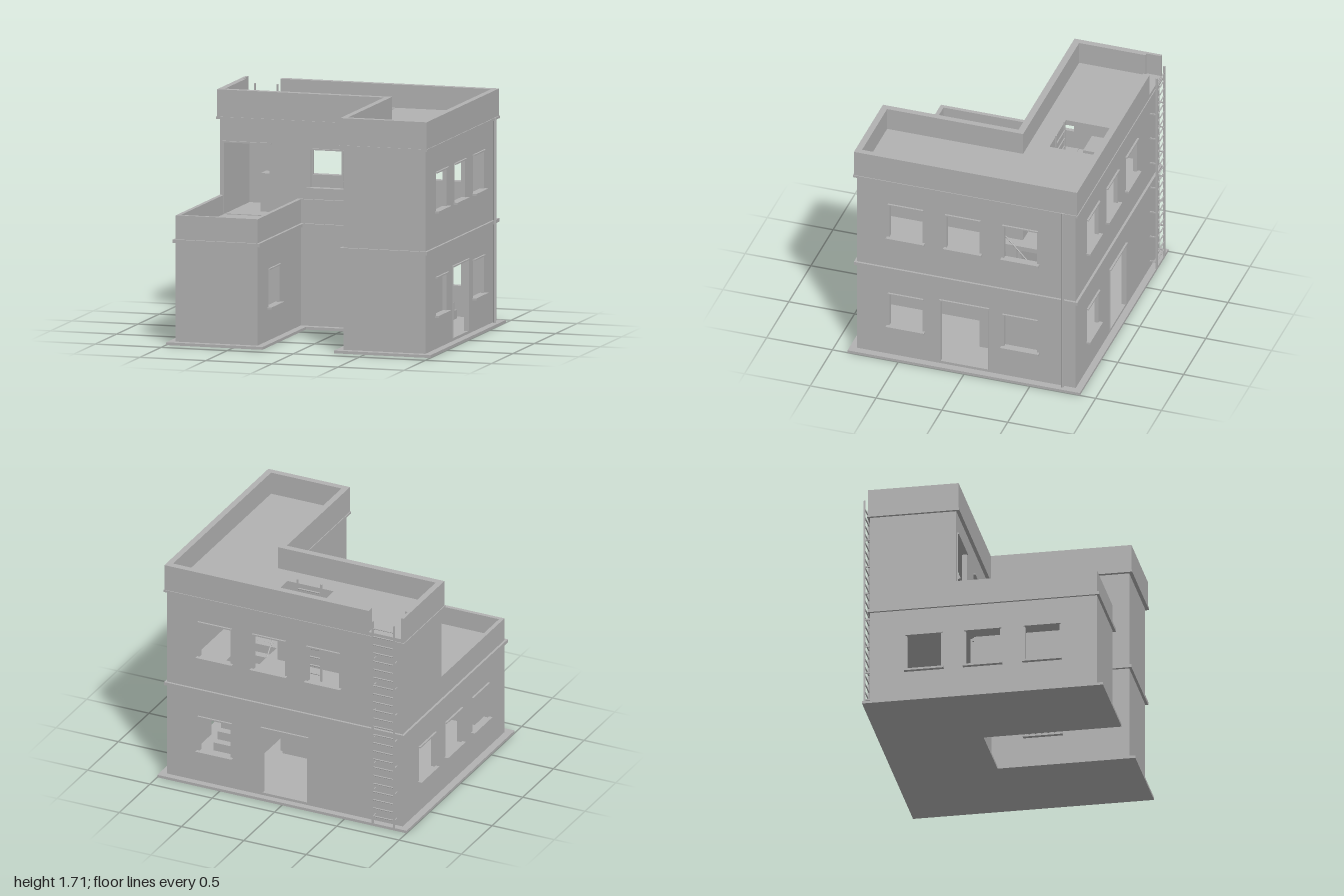
import * as THREE from 'three';

export function createModel() {
  const model = new THREE.Group();
  const grey = new THREE.MeshStandardMaterial({ color: 0xb2b2b2 });
  grey.name = 'plaster grey';

  const add = (name, geo) => {
    const m = new THREE.Mesh(geo, grey);
    m.name = name;
    model.add(m);
    return m;
  };
  const box = (name, x0, x1, y0, y1, z0, z1) =>
    add(name, new THREE.BoxGeometry(x1 - x0, y1 - y0, z1 - z0)
      .translate((x0 + x1) / 2, (y0 + y1) / 2, (z0 + z1) / 2));
  const bar = (name, a, b, r) => {
    const p = new THREE.Vector3(...a), q = new THREE.Vector3(...b);
    const m = add(name, new THREE.CylinderGeometry(r, r, p.distanceTo(q), 8));
    m.position.copy(p).add(q).multiplyScalar(0.5);
    m.quaternion.setFromUnitVectors(new THREE.Vector3(0, 1, 0), q.sub(p).normalize());
  };
  const poly = (pts, Type = THREE.Shape) => new Type(pts.map(p => new THREE.Vector2(...p)));
  const rect = (a, b, c, d) => [[a, c], [b, c], [b, d], [a, d]];

  // Horizontal plate from an (x, z) outline
  const plate = (name, pts, y0, y1, holes = []) => {
    const s = poly(pts);
    s.holes = holes.map(h => poly(h, THREE.Path));
    add(name, new THREE.ExtrudeGeometry(s, { depth: y1 - y0, bevelEnabled: false })
      .rotateX(Math.PI / 2).translate(0, y1, 0));
  };
  const uShape = (o, zb, zf, xi, zn) => [[-o, zb], [o, zb], [o, zf], [xi, zf], [xi, zn], [-xi, zn], [-xi, zf], [-o, zf]];
  const lShape = (o, zb, zf, xi, zn) => [[-o, zb], [o, zb], [o, zf], [xi, zf], [xi, zn], [-o, zn]];

  // Wall along one axis with openings [centre, width, bottom, top]; doors have no sill
  const T = 0.03;
  const wall = (name, axis, pos, dir, a, b, y0, y1, openings = []) => {
    const s = poly(rect(a, b, y0, y1));
    s.holes = openings.map(([c, w, lo, hi]) => poly(rect(c - w / 2, c + w / 2, lo, hi), THREE.Path));
    const g = new THREE.ExtrudeGeometry(s, { depth: T, bevelEnabled: false });
    if (axis === 'x') g.rotateY(-Math.PI / 2).translate(dir > 0 ? pos : pos + T, 0, 0);
    else g.translate(0, 0, dir > 0 ? pos - T : pos);
    add(name, g);
    const trim = (label, c, w, lo, hi, out) => {
      const p = Math.min(pos, pos + dir * out), q = Math.max(pos, pos + dir * out);
      if (axis === 'x') box(label, p, q, lo, hi, c - w / 2, c + w / 2);
      else box(label, c - w / 2, c + w / 2, lo, hi, p, q);
    };
    for (const [c, w, lo, hi, door] of openings) {
      trim('lintel', c, w + 0.02, hi, hi + 0.01, 0.015);
      if (!door) trim('sill', c, w + 0.04, lo - 0.015, lo, 0.03);
      else for (const e of [-1, 1]) trim('doorFrame', c + e * (w / 2 + 0.003), 0.006, lo, hi, 0.008);
    }
  };
  const low = c => [c, 0.25, 0.265, 0.535];
  const high = c => [c, 0.25, 1.025, 1.3];
  const door = c => [c, 0.36, 0.04, 0.56, true];

  // Base, floors and roof
  plate('base', uShape(1, -0.88, 0.885, 0.27, -0.125), 0, 0.02);
  plate('groundFloor', uShape(0.945, -0.83, 0.83, 0.325, -0.18), 0.02, 0.04);
  plate('upperFloor', uShape(0.94, -0.825, 0.825, 0.33, -0.185), 0.765, 0.8,
    [rect(0.44, 0.68, -0.72, -0.02)]);
  plate('middleBand', uShape(0.962, -0.848, 0.85, 0.305, -0.16), 0.74, 0.765,
    [uShape(0.93, -0.815, 0.815, 0.34, -0.195)]);
  plate('roof', lShape(0.96, -0.845, 0.85, 0.305, -0.18), 1.5, 1.54, [rect(-0.17, 0.2, -0.755, -0.38)]);
  plate('roofBand', lShape(0.966, -0.851, 0.856, 0.299, -0.174), 1.495, 1.512,
    [lShape(0.93, -0.815, 0.815, 0.34, -0.215)]);

  // Ground storey walls
  const G = [0.02, 0.765];
  wall('groundBackWall', 'z', -0.83, -1, -0.945, 0.945, ...G, [low(0.56), door(0)]);
  wall('groundRightSideWall', 'x', 0.945, 1, -0.83, 0.83, ...G, [low(0.46), door(0.015), low(-0.41)]);
  wall('groundLeftSideWall', 'x', -0.945, -1, -0.83, 0.83, ...G, [low(-0.435), low(-0.005), low(0.43)]);
  wall('groundCourtWall', 'z', -0.18, 1, -0.325, 0.325, ...G);
  wall('courtSideWall', 'x', 0.325, -1, -0.18, 0.83, ...G, [low(0.2)]);
  wall('courtSideWall', 'x', -0.325, 1, -0.18, 0.83, ...G, [low(0.45)]);
  for (const [a, b] of [[-0.945, -0.325], [0.325, 0.945]]) wall('wingFrontWall', 'z', 0.83, 1, a, b, ...G);

  // Upper storey walls
  const U = [0.765, 1.5];
  wall('upperBackWall', 'z', -0.83, -1, -0.945, 0.945, ...U, [high(-0.31), high(0.125), high(0.56)]);
  wall('upperSideWall', 'x', 0.945, 1, -0.83, 0.83, ...U, [high(0.46), high(0.025), high(-0.41)]);
  wall('upperEndWall', 'x', -0.945, -1, -0.83, -0.2, ...U);
  wall('upperCourtWall', 'z', -0.2, 1, -0.945, 0.355, ...U,
    [[-0.13, 0.26, 1.025, 1.3], [-0.738, 0.345, 0.805, 1.325, true]]);
  wall('upperWingWall', 'x', 0.325, -1, -0.2, 0.83, ...U, [high(0.18)]);
  wall('upperFrontWall', 'z', 0.83, 1, 0.325, 0.945, ...U);

  // Terrace parapet
  box('terraceParapet', -0.945, -0.915, 0.765, 0.94, -0.2, 0.83);
  box('terraceParapet', -0.355, -0.325, 0.765, 0.94, -0.2, 0.83);
  box('terraceParapet', -0.945, -0.325, 0.765, 0.94, 0.8, 0.83);
  box('courtLedge', -0.325, 0.325, 0.765, 0.94, -0.2, -0.18);

  // Roof parapet, with a gap for the ladder
  const P = [1.54, 1.71];
  box('roofParapet', -0.68, 0.96, ...P, -0.845, -0.795);
  box('roofParapet', 0.915, 0.96, ...P, -0.845, 0.85);
  box('roofParapet', 0.305, 0.96, ...P, 0.803, 0.85);
  box('roofParapet', 0.305, 0.35, ...P, -0.23, 0.85);
  box('roofParapet', -0.96, 0.35, ...P, -0.23, -0.18);
  box('roofParapet', -0.96, -0.915, ...P, -0.735, -0.18);
  box('roofParapet', -0.96, -0.938, ...P, -0.845, -0.735);

  // Outside ladder
  for (const x of [-0.9, -0.73]) {
    box('ladderStile', x - 0.005, x + 0.005, 0.02, 1.655, -0.888, -0.873);
    for (let i = 0; i < 7; i++)
      box('ladderBracket', x - 0.004, x + 0.004, 0.07 + i * 0.211, 0.08 + i * 0.211, -0.88, -0.83);
  }
  for (let i = 0; i < 24; i++) bar('ladderRung', [-0.9, 0.08 + i * 0.066, -0.88], [-0.73, 0.08 + i * 0.066, -0.88], 0.005);

  // Drainpipe
  bar('drainpipe', [0.962, 0.02, -0.735], [0.962, 1.515, -0.735], 0.011);

  // Inside stair and handrail
  for (let i = 0; i < 12; i++) {
    const z = -0.73 + i * 0.06;
    box('stairStep', 0.44, 0.68, 0.04, 0.04 + 0.0633 * (i + 1), z, z + 0.06);
  }
  bar('handrail', [0.45, 0.24, -0.72], [0.45, 0.95, -0.06], 0.005);

  // Inside ladder to the roof hatch
  for (const x of [-0.08, 0.11]) box('hatchLadderStile', x - 0.006, x + 0.006, 0.8, 1.585, -0.406, -0.394);
  for (let i = 0; i < 11; i++) bar('hatchLadderRung', [-0.08, 0.85 + i * 0.066, -0.4], [0.11, 0.85 + i * 0.066, -0.4], 0.006);

  // Low cabinet on the upper floor
  box('cabinet', -0.7, -0.5, 0.8, 1.08, -0.52, -0.4);
  return model;
}
